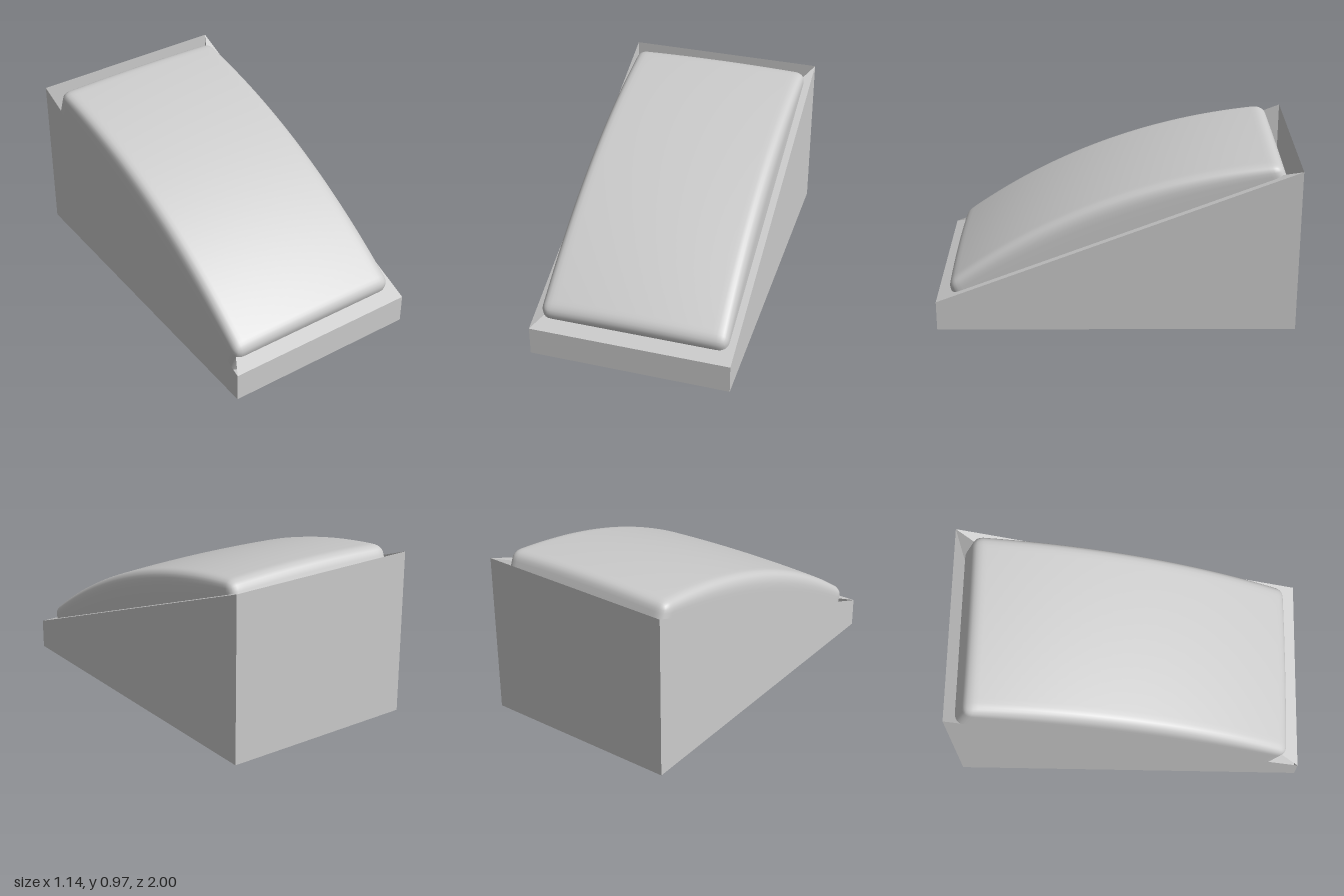
import * as THREE from 'three';
import { mergeVertices } from 'three/addons/utils/BufferGeometryUtils.js';

const HALF_W = 0.57, FRONT_H = 0.17, BACK_H = 0.94;
const TILT = Math.atan((BACK_H - FRONT_H) / 2);

// Thin-walled wedge; its sloping top is a single triangle along the front and +x rims
function wedgeGeometry() {
  const corner = (x, z, top) => [x * HALF_W, top ? (z > 0 ? FRONT_H : BACK_H) : 0, z];
  const pos = [];
  const tri = (...c) => c.forEach(p => pos.push(...corner(...p)));
  const quad = (a, b, c, d) => { tri(a, b, c); tri(a, c, d); };
  const rim = [[-1, 1], [1, 1], [1, -1], [-1, -1]];
  rim.forEach((a, i) => {
    const b = rim[(i + 1) % 4];
    quad([...a, 0], [...b, 0], [...b, 1], [...a, 1]);
  });
  quad([-1, -1, 0], [1, -1, 0], [1, 1, 0], [-1, 1, 0]);
  tri([-1, 1, 1], [1, 1, 1], [1, -1, 1]);
  const g = new THREE.BufferGeometry();
  g.setAttribute('position', new THREE.Float32BufferAttribute(pos, 3));
  g.computeVertexNormals();
  return g;
}

// Domed cushion: a box with rounded upper edges, bulged along its length
function cushionGeometry() {
  const half = new THREE.Vector3(0.53, 0.12, 0.98), r = 0.055;
  let g = new THREE.BoxGeometry(2, 2, 2, 32, 14, 48);
  g.deleteAttribute('uv');
  g.deleteAttribute('normal');
  g = mergeVertices(g);
  const p = g.attributes.position;
  const v = new THREE.Vector3(), inner = new THREE.Vector3();
  const lo = new THREE.Vector3(r - half.x, -half.y, r - half.z);
  const hi = half.clone().subScalar(r);
  const ease = t => Math.sin(t * Math.PI / 2); // denser near the edges
  for (let i = 0; i < p.count; i++) {
    v.set(ease(p.getX(i)), ease(p.getY(i)), ease(p.getZ(i))).multiply(half);
    inner.copy(v).clamp(lo, hi);
    v.sub(inner).clampLength(0, r).add(inner);
    const t = (v.y + half.y) / (2 * half.y);
    const crown = 0.213 - 0.145 * v.z * v.z - 0.015 * (v.x / half.x) ** 2;
    p.setXYZ(i, v.x, -0.14 + t * (crown + 0.14), v.z + 0.005);
  }
  g.computeVertexNormals();
  return g;
}

export function createModel() {
  const model = new THREE.Group();
  model.name = 'wedgeCushion';
  const material = new THREE.MeshStandardMaterial({ color: 0xcccccc, side: THREE.DoubleSide });

  const base = new THREE.Mesh(wedgeGeometry(), material);
  base.name = 'wedgeBase';

  const cushion = new THREE.Mesh(cushionGeometry(), material);
  cushion.name = 'cushion';
  cushion.position.y = (FRONT_H + BACK_H) / 2;
  cushion.rotation.x = TILT;

  model.add(base, cushion);
  return model;
}
